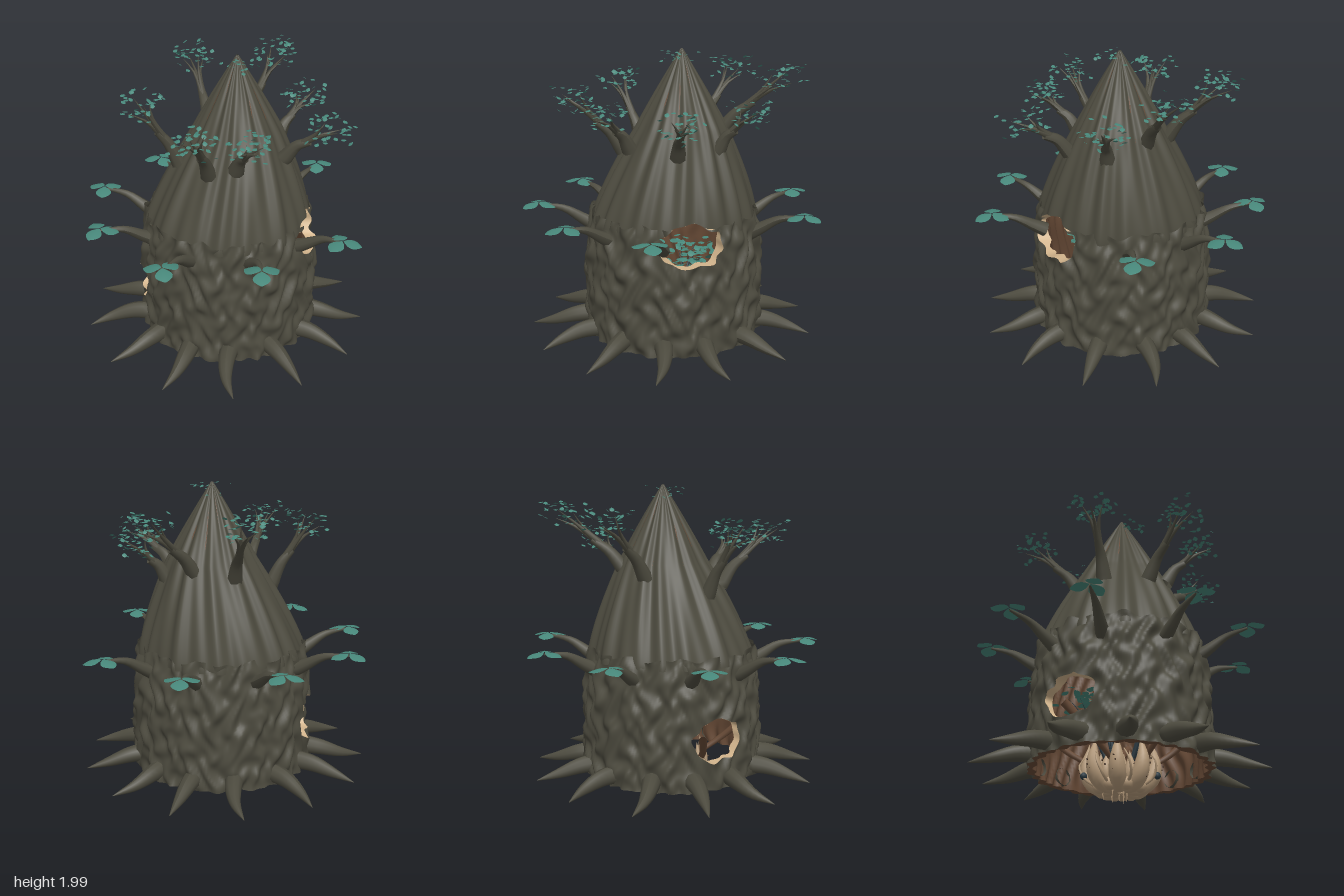
import * as THREE from 'three';
import { mergeGeometries, mergeVertices } from 'three/addons/utils/BufferGeometryUtils.js';

const { sin, cos, PI, min, max, hypot, abs } = Math;
const V = (x, y, z) => new THREE.Vector3(x, y, z);
const rad = d => d * PI / 180;
const mat = (name, color, side = THREE.FrontSide) => {
  const m = new THREE.MeshStandardMaterial({ color, side });
  m.name = name;
  return m;
};

let seed = 7;
const rnd = (a = 0, b = 1) => {
  seed = (seed * 16807) % 2147483647;
  return a + (b - a) * seed / 2147483647;
};

// Openings in the trunk: centre angle, height, half angle, half height
const holes = [
  { a: rad(43), y: 0.895, da: rad(22), dy: 0.128 },
  { a: rad(207), y: 0.505, da: rad(18), dy: 0.13 },
];
const ragged = t => 1 + 0.05 * sin(5 * t + 1) + 0.03 * sin(8 * t);

// Trunk surfaces as functions of angle and height
const ring = (a, y, r, cx = 0.02) => V(cx + r * cos(a), y, r * sin(a));
const coneT = y => min(1, max(0, (y - 0.95) / 1.04));
const coneX = y => 0.02 + 0.06 * min(1, coneT(y) * 1.8);
const coneR = y => 0.505 * (1 - coneT(y) ** 1.23) + 0.006;
function bark(a, y) {
  const base = 0.555 - 0.04 * max(0, (y - 0.5) / 0.5) ** 2;
  const wave = 0.012 * sin(26 * a + 1.5 * sin(24 * y + 3 * sin(4 * a)))
    + 0.008 * sin(11 * a + 2 * sin(11 * y)) + 0.006 * sin(40 * y + 5 * sin(9 * a));
  const lip = max(0, (y - 0.85) / 0.15);
  return ring(a, y + lip * (0.01 * sin(11 * a) + 0.008 * sin(19 * a + 1)), base + wave);
}
function cone(a, y) {
  const t = coneT(y);
  const fold = 1 + (0.02 + 0.03 * t) * sin(15 * a + sin(3 * a) + 2 * t) + 0.018 * sin(24 * a - 1.5 * t);
  return ring(a, y, coneR(y) * fold, coneX(y));
}
const inside = (a, y) => ring(a, y, (y < 0.95 ? 0.515 - 0.055 * (y - 0.2) : coneR(y) * 0.93)
  + 0.012 * sin(30 * a + 2.5 * sin(12 * y + 2 * sin(3 * a))) * (1 - coneT(y)), coneX(y));

// Tubular sheet with the openings cut out; vertices at an opening slide onto its edge
function sheet(surf, y0, y1, nv, inward = false) {
  const nu = 220, pos = [], cut = [], idx = [];
  for (let j = 0; j <= nv; j++) for (let i = 0; i <= nu; i++) {
    let a = i / nu * 2 * PI, y = y0 + (y1 - y0) * j / nv, gone = false;
    for (const h of holes) {
      const u = (a - h.a) / h.da, v = (y - h.y) / h.dy;
      const d = hypot(u, v), edge = ragged(Math.atan2(v, u));
      if (d < edge) {
        const k = edge / max(d, 1e-4);
        a = h.a + u * k * h.da; y = h.y + v * k * h.dy; gone = true;
      }
    }
    pos.push(...surf(a % (2 * PI), y).toArray());
    cut.push(gone);
  }
  const tri = (p, q, r) => {
    if (!(cut[p] && cut[q] && cut[r])) idx.push(...(inward ? [p, r, q] : [p, q, r]));
  };
  for (let j = 0; j < nv; j++) for (let i = 0; i < nu; i++) {
    const p = j * (nu + 1) + i, q = p + nu + 1;
    tri(p, q, p + 1);
    tri(p + 1, q, q + 1);
  }
  return surface(pos, idx);
}
function surface(pos, idx) {
  let g = new THREE.BufferGeometry();
  g.setAttribute('position', new THREE.Float32BufferAttribute(pos, 3));
  g.setIndex(idx);
  g = mergeVertices(g);
  g.computeVertexNormals();
  return g;
}
// Closed band joining two loops given as functions of an angle
function band(f, g, n) {
  const pos = [], idx = [];
  for (let i = 0; i < n; i++) {
    const t = i / n * 2 * PI, k = 2 * i, m = 2 * ((i + 1) % n);
    pos.push(...f(t).toArray(), ...g(t).toArray());
    idx.push(k, m, k + 1, m, m + 1, k + 1);
  }
  return surface(pos, idx);
}

// Tapered limb along a smooth path
function limb(points, r, taper = u => 1 - 0.97 * u, seg = 10, sides = 8) {
  const curve = new THREE.CatmullRomCurve3(points);
  const g = new THREE.TubeGeometry(curve, seg, r, sides), p = g.attributes.position, v = V();
  for (let i = 0; i < p.count; i++) {
    const u = Math.floor(i / (sides + 1)) / seg, c = curve.getPointAt(u);
    v.fromBufferAttribute(p, i).sub(c).multiplyScalar(taper(u)).add(c);
    p.setXYZ(i, v.x, v.y, v.z);
  }
  g.computeVertexNormals();
  return g;
}

// Leaf blade growing along +z from its stalk, folded and drooping
function leaf(len, wid, droop, rows) {
  const g = new THREE.PlaneGeometry(1, 1, 2, rows), p = g.attributes.position;
  for (let i = 0; i < p.count; i++) {
    const v = p.getY(i) + 0.5, x = p.getX(i) * wid * max(0.03, sin(PI * v)) ** 0.8;
    p.setXYZ(i, x, -droop * v * v - abs(x) * 0.2, v * len);
  }
  g.computeVertexNormals();
  return g;
}
const tinyLeaf = (c, s) => leaf(s, s * 0.95, s * 0.25, 4)
  .rotateX(rnd(-0.5, 0.5)).rotateY(rnd(0, 2 * PI)).translate(c.x, c.y, c.z);

export function createModel() {
  const group = new THREE.Group();
  const barkMat = mat('dark bark', 0x4d4b3f, THREE.DoubleSide);
  const woodMat = mat('brown inner wood', 0x674a36, THREE.DoubleSide);
  const rimMat = mat('pale cut wood', 0xd2b48c, THREE.DoubleSide);
  const leafMat = mat('teal leaf', 0x47877a, THREE.DoubleSide);
  const petalMat = mat('beige petal', 0xb59a7a, THREE.DoubleSide);
  const berryMat = mat('dark blue berry', 0x2b3a42);
  const speckMat = mat('brown speck', 0x4a3526);
  const add = (name, geo, m) => {
    const mesh = new THREE.Mesh(Array.isArray(geo) ? mergeGeometries(geo) : geo, m);
    mesh.name = name;
    group.add(mesh);
  };

  // Hollow trunk
  add('trunkBark', sheet(bark, 0.2, 1.0, 72), barkMat);
  add('trunkCone', sheet(cone, 0.94, 1.99, 56), barkMat);
  add('trunkInside', sheet(inside, 0.2, 1.9, 64, true), woodMat);
  add('trunkBottomEdge', band(t => bark(t, 0.2), t => inside(t, 0.2), 220), woodMat);
  for (const h of holes) {
    const edge = surf => t => surf(h.a + h.da * ragged(t) * cos(t), h.y + h.dy * ragged(t) * sin(t));
    const outer = (a, y) => y > 1.0 ? cone(a, y) : bark(a, y);
    add('openingRim', band(edge(outer), edge(inside), 64), rimMat);
  }

  // Root spikes around the foot
  const spikes = [];
  for (let i = 0; i < 13; i++) {
    const a = rad(4.5 + i * 360 / 13);
    spikes.push(limb([[0.51, 0.27], [0.62, 0.26], [0.76, 0.225], [0.9, 0.195]]
      .map(([r, y], k) => ring(a + 0.05 * sin(k * PI / 3) * sin(i * 2), y, r, 0)),
    0.058, u => 1 - 0.97 * u ** 1.7, 12, 10));
  }
  add('rootSpikes', spikes, barkMat);

  // Side branches, each with a three-part leaf: leaf centre x, z and turn
  const sideBranches = [], blades = [];
  [
    [-0.585, -0.585, 0], [-0.075, -0.815, 90], [0.485, -0.69, 53], [0.83, -0.225, 5],
    [0.39, 0.735, 44], [-0.195, 0.795, 0], [-0.67, 0.5, 105], [-0.815, -0.08, 30],
  ].forEach(([x, z, turn]) => {
    const a = Math.atan2(z, x), end = V(x, 1.005, z);
    sideBranches.push(limb([ring(a, 0.87, 0.5), ring(a, 0.91, 0.57), ring(a, 0.98, 0.69), end],
      0.046, u => 1 - 0.85 * u));
    for (let k = 0; k < 3; k++)
      blades.push(leaf(0.11, 0.1, 0.025, 8).translate(0, 0, 0.005)
        .rotateY(PI / 2 - rad(turn + k * 120)).translate(x, 1.02, z));
  });
  add('sideBranches', sideBranches, barkMat);
  add('sideLeaves', blades, leafMat);

  // Upper boughs: stub, fan of twigs, and a cloud of tiny leaves
  const boughs = [], twigs = [], foliage = [];
  const cloud = (c, spread, high, count, size) => {
    for (let i = 0; i < count; i++) {
      const t = rnd(0, 2 * PI), r = spread * Math.sqrt(rnd());
      foliage.push(tinyLeaf(V(c.x + r * cos(t), c.y + rnd(-high, high), c.z + r * sin(t)), size));
    }
  };
  const fan = (from, to, spread, count, thick) => {
    for (let i = 0; i < count; i++) {
      const t = i / count * 2 * PI;
      const tip = to.clone().add(V(spread * cos(t), rnd(-0.04, 0.03), spread * sin(t)));
      twigs.push(limb([from, from.clone().lerp(to, 0.5).lerp(tip, 0.3), tip], thick, undefined, 6, 6));
    }
  };
  [ // base and leaf centre
    [[0.03, 1.43, -0.27], [0.08, 1.81, -0.59]], [[0.24, 1.46, -0.18], [0.57, 1.82, -0.36]],
    [[0.36, 1.4, 0.02], [0.57, 1.65, 0.0]], [[0.25, 1.4, 0.28], [0.43, 1.64, 0.5]],
    [[-0.09, 1.4, 0.3], [-0.11, 1.64, 0.53]], [[-0.22, 1.36, 0.2], [-0.43, 1.7, 0.43]],
    [[-0.28, 1.34, -0.07], [-0.51, 1.74, -0.12]],
  ].forEach(([b, c]) => {
    const base = V(...b), to = V(...c), mid = base.clone().lerp(to, 0.55);
    const bend = base.clone().lerp(mid, 0.5);
    bend.y += 0.03;
    boughs.push(limb([base, bend, mid], 0.05, u => 1 - 0.55 * u, 8));
    fan(bend, to, 0.07, 4, 0.025);
    cloud(to, 0.14, 0.07, 42, 0.032);
  });
  cloud(V(0.085, 1.945, 0.03), 0.12, 0.035, 20, 0.026);
  add('upperBoughs', boughs, barkMat);
  add('upperTwigs', twigs.splice(0), barkMat);
  add('upperFoliage', foliage.splice(0), leafMat);

  // Plants and struts hidden in the hollow
  const struts = [];
  for (let i = 0; i < 5; i++) {
    const a = rad(43 + i * 72), top = ring(a, 0.66, 0.24);
    fan(ring(a, 0.25, 0.08), top, 0.09, 4, 0.015);
    cloud(top, 0.15, 0.07, 34, 0.05);
    struts.push(limb([ring(a + 0.5, 0.5, 0.49), ring(a + 0.3, 0.34, 0.33), ring(a, 0.2, 0.12)], 0.026, u => 1 - 0.5 * u));
  }
  add('innerStruts', struts, woodMat);
  add('innerStems', twigs, berryMat);
  add('innerFoliage', foliage, leafMat);

  // Pale bloom hanging below: rings of pointed petals over a cluster of round buds
  const petals = [], specks = [], berries = [], rootlets = [], tendrils = [];
  const bloom = (n, shift, s, thick) => {
    for (let i = 0; i < n; i++) {
      const a = (i + shift) / n * 2 * PI;
      const path = [[0.03, 0.095], [0.11, 0.09], [0.175, 0.135], [0.205, 0.22], [0.19, 0.37]]
        .map(([r, y]) => ring(a, 0.09 + (y - 0.09) * s, r * s, 0.02));
      petals.push(limb(path, thick, u => 0.03 + (u < 0.4 ? 0.7 + 0.3 * sin(u / 0.8 * PI)
        : cos((u - 0.4) / 1.2 * PI) ** 1.2), 16, 10));
      for (let k = 0; k < 5; k++)
        specks.push(new THREE.SphereGeometry(0.006, 6, 4).translate(
          ...ring(a + rnd(-0.1, 0.1), 0.12 + k * 0.025, (0.178 + k * 0.01) * s + thick * 0.75, 0.02).toArray()));
    }
  };
  bloom(8, 0, 1, 0.05);
  bloom(6, 0.5, 0.7, 0.04);
  for (let i = 0; i < 8; i++) {
    const a = (i + 0.5) / 8 * 2 * PI, r = 0.03 + 0.08 * rnd();
    petals.push(new THREE.SphereGeometry(0.042, 12, 8).translate(...ring(a, 0.09, 0.13).toArray()));
    rootlets.push(limb([ring(a, 0.1, r), ring(a, 0.05, r * 1.1), ring(a, rnd(0.0, 0.02), r)], 0.01, undefined, 5, 5));
    tendrils.push(limb([ring(a, 0.09, 0.15), ring(a, 0.13, 0.22), ring(a + 0.1, 0.21, 0.25), ring(a + 0.2, 0.27, 0.22)],
      0.011, u => 1 - 0.7 * u, 8, 6));
  }
  for (const deg of [100, 250, 320])
    berries.push(new THREE.SphereGeometry(0.022, 10, 8).translate(...ring(rad(deg), 0.15, 0.225).toArray()));
  add('bloomPetals', petals, petalMat);
  add('bloomTendrils', tendrils, petalMat);
  add('bloomRootlets', rootlets, petalMat);
  add('bloomSpecks', specks, speckMat);
  add('bloomBerries', berries, berryMat);
  return group;
}
